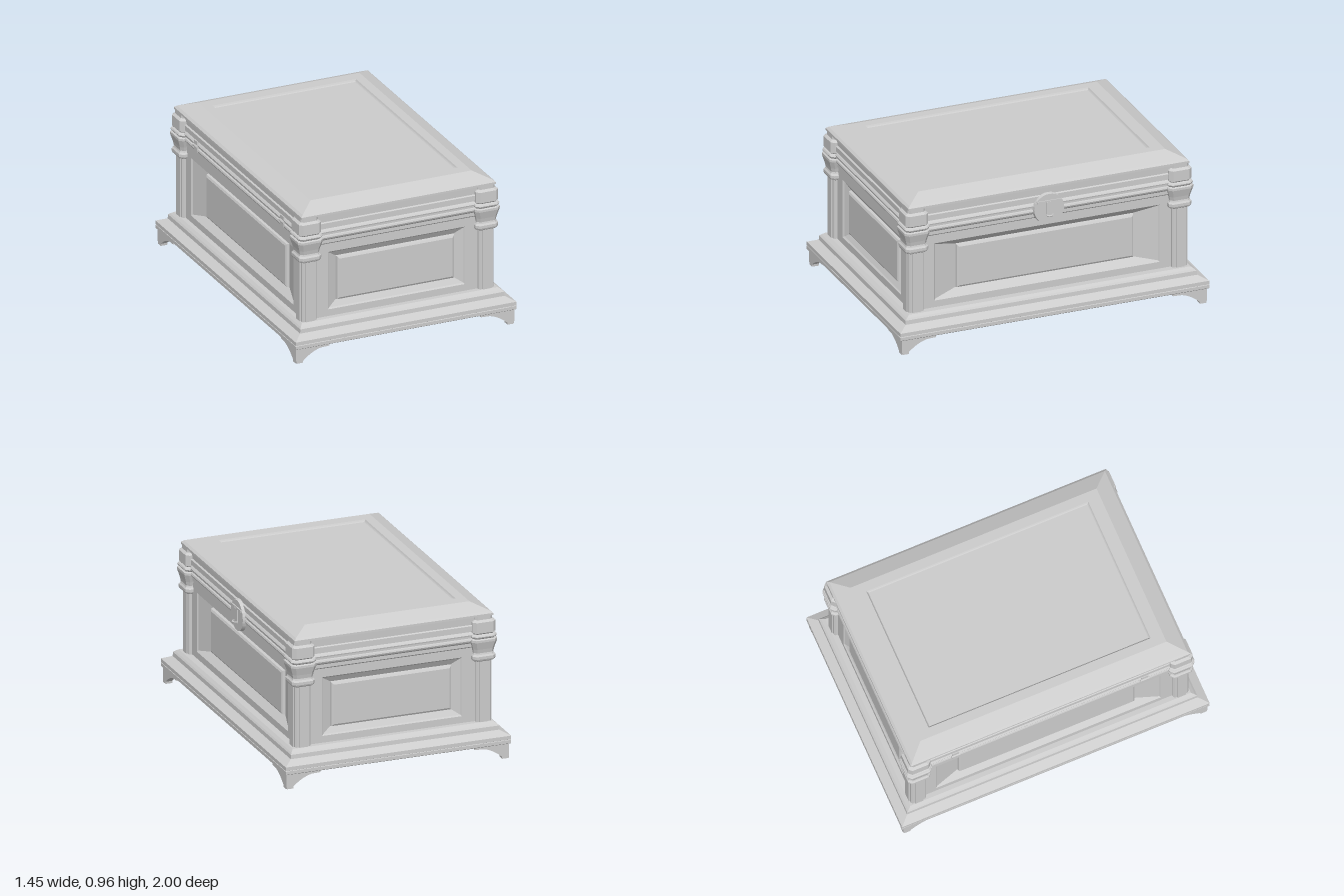
import * as THREE from 'three';

const material = new THREE.MeshStandardMaterial({ color: 0xcccccc, flatShading: true });

function add(parent, name, geometry, x = 0, y = 0, z = 0) {
  const mesh = new THREE.Mesh(geometry, material);
  mesh.name = name;
  mesh.position.set(x, y, z);
  parent.add(mesh);
  return mesh;
}

// Skin a stack of counter-clockwise rings along +z, closing both ends as asked
function loft(rings, capStart, capEnd) {
  const pos = [];
  const tri = (...pts) => pts.forEach((p) => pos.push(...p));
  const n = rings[0].length;
  for (let r = 0; r < rings.length - 1; r++) {
    for (let i = 0; i < n; i++) {
      const j = (i + 1) % n, a = rings[r], b = rings[r + 1];
      tri(a[i], a[j], b[j]);
      tri(a[i], b[j], b[i]);
    }
  }
  const last = rings[rings.length - 1];
  for (let i = 1; i < n - 1; i++) {
    if (capStart) tri(rings[0][0], rings[0][i + 1], rings[0][i]);
    if (capEnd) tri(last[0], last[i], last[i + 1]);
  }
  const g = new THREE.BufferGeometry();
  g.setAttribute('position', new THREE.Float32BufferAttribute(pos, 3));
  g.computeVertexNormals();
  return g;
}

const rect = (x, y0, y1, z) => [[-x, y0, z], [x, y0, z], [x, y1, z], [-x, y1, z]];

// Square with cut corners
const octagon = (h, z, c = h * 0.28) => [
  [h, -h + c, z], [h, h - c, z], [h - c, h, z], [-h + c, h, z],
  [-h, h - c, z], [-h, -h + c, z], [-h + c, -h, z], [h - c, -h, z],
];

// Stacked rectangular moulding: rows of [halfX, halfZ, y]
const moulding = (rows) =>
  loft(rows.map(([x, z, y]) => rect(x, -z, z, y)), true, true).rotateX(-Math.PI / 2);

// Wall with a sloping recess and a raised, bevelled field
const panelWall = (half, frame, field, depth) => loft([
  rect(half, 0.2, 0.7, 0),
  rect(frame, 0.265, 0.64, 0),
  rect(frame - 0.008, 0.273, 0.632, -0.008),
  rect(field, 0.31, 0.595, -depth),
  rect(field - 0.004, 0.314, 0.591, -depth + 0.016),
  rect(field - 0.016, 0.326, 0.579, -depth + 0.023),
], false, true);

// Bracket foot: two curved wings meeting at the corner
function makeFoot() {
  const foot = new THREE.Group();
  foot.name = 'foot';
  const s = new THREE.Shape();
  s.moveTo(0.006, 0);
  s.lineTo(0.045, 0);
  s.lineTo(0.047, 0.015);
  s.quadraticCurveTo(0.11, 0.068, 0.165, 0.078);
  s.lineTo(0.22, 0.08);
  s.lineTo(0.22, 0.1);
  s.lineTo(0, 0.1);
  s.lineTo(0, 0.02);
  const wing = new THREE.ExtrudeGeometry(s, { depth: 0.042, bevelEnabled: false, curveSegments: 8 });
  add(foot, 'footWing', wing);
  add(foot, 'footWing', wing.clone().rotateY(-Math.PI / 2), 0.042);
  return foot;
}

// Corner column: fluted shaft below a turned-looking capital
function makeColumn() {
  const column = new THREE.Group();
  column.name = 'cornerColumn';
  const shaft = loft([octagon(0.049, 0.21, 0.008), octagon(0.049, 0.63, 0.008)], true, true);
  add(column, 'columnShaft', shaft.rotateX(-Math.PI / 2));
  add(column, 'columnStrip', new THREE.BoxGeometry(0.114, 0.4, 0.054), 0, 0.41, 0);
  add(column, 'columnStrip', new THREE.BoxGeometry(0.054, 0.4, 0.114), 0, 0.41, 0);
  const profile = [
    [0.058, 0.61], [0.07, 0.618], [0.074, 0.628], [0.074, 0.645], [0.066, 0.655], [0.063, 0.665],
    [0.068, 0.69], [0.082, 0.738], [0.082, 0.752], [0.07, 0.757], [0.078, 0.765], [0.081, 0.773],
    [0.076, 0.781], [0.066, 0.786], [0.073, 0.794], [0.073, 0.862], [0.057, 0.874], [0.057, 0.896],
  ];
  const capital = loft(profile.map(([h, y]) => octagon(h, y)), true, true);
  add(column, 'columnCapital', capital.rotateX(-Math.PI / 2));
  return column;
}

export function createModel() {
  const model = new THREE.Group();
  model.name = 'chest';

  // Plinth and feet
  add(model, 'plinth', moulding([
    [0.72, 0.993, 0.093], [0.726, 1, 0.098], [0.726, 1, 0.118], [0.722, 0.996, 0.12],
    [0.726, 1, 0.122], [0.726, 1, 0.145], [0.672, 0.945, 0.172], [0.67, 0.943, 0.198],
    [0.662, 0.932, 0.208], [0.646, 0.912, 0.222],
  ]));
  [[-1, -1], [-1, 1], [1, 1], [1, -1]].forEach(([sx, sz], i) => {
    const foot = makeFoot();
    foot.position.set(sx * 0.718, 0, sz * 0.988);
    foot.rotation.y = i * Math.PI / 2;
    model.add(foot);
  });

  const upper = new THREE.Group();
  upper.name = 'chestBody';
  upper.position.x = -0.007;
  model.add(upper);

  // Four panelled walls
  const X = 0.61, Z = 0.88;
  for (let i = 0; i < 4; i++) {
    const long = i % 2 === 1;
    const wall = long ? panelWall(Z, 0.73, 0.575, 0.045) : panelWall(X, 0.45, 0.388, 0.03);
    const a = i * Math.PI / 2;
    add(upper, long ? 'sideWall' : 'endWall', wall, Math.sin(a) * X, 0, Math.cos(a) * Z).rotation.y = a;
  }

  // Rim of the box, then the lid with its sunken top
  const grow = ([d, y]) => [X + d, Z + d, y];
  add(upper, 'boxRim', moulding([
    [0, 0.695], [0.008, 0.703], [0.008, 0.725], [0.018, 0.735], [0.022, 0.745],
    [0.018, 0.755], [0.01, 0.758], [0.01, 0.77],
  ].map(grow)));
  add(upper, 'lid', moulding([
    ...[[0.01, 0.77], [0.02, 0.774], [0.022, 0.782], [0.016, 0.79], [0.008, 0.798], [0.008, 0.803],
      [0.018, 0.806], [0.018, 0.838], [0.008, 0.843], [0.01, 0.89], [0.03, 0.895], [0.03, 0.908]].map(grow),
    [0.626, 0.896, 0.92], [0.53, 0.8, 0.96], [0.472, 0.722, 0.96],
    [0.467, 0.717, 0.952], [0.462, 0.712, 0.947],
  ]));

  // Columns at the four corners
  for (const sx of [-1, 1]) {
    for (const sz of [-1, 1]) {
      const column = makeColumn();
      column.position.set(sx * 0.582, 0, sz * 0.853);
      upper.add(column);
    }
  }

  // Round lock plate with hasp and staple
  const lock = new THREE.Group();
  lock.name = 'lock';
  lock.position.set(0.635, 0.757, 0);
  upper.add(lock);
  add(lock, 'lockPlate', new THREE.CylinderGeometry(0.096, 0.1, 0.022, 28).rotateZ(-Math.PI / 2));
  add(lock, 'haspBand', new THREE.BoxGeometry(0.012, 0.012, 0.16), 0.012, 0.05, 0);
  add(lock, 'haspTongue', new THREE.BoxGeometry(0.012, 0.09, 0.045), 0.014, 0.002, 0);
  add(lock, 'staple', new THREE.TorusGeometry(0.02, 0.005, 6, 16, Math.PI).rotateX(Math.PI / 2)
    .rotateY(Math.PI / 2), 0.017, -0.037, 0);

  // Hinges on the opposite side
  for (const z of [-0.615, 0.615]) {
    const hinge = new THREE.Group();
    hinge.name = 'hinge';
    hinge.position.set(-0.632, 0.77, z);
    upper.add(hinge);
    add(hinge, 'hingeKnuckle', new THREE.CylinderGeometry(0.01, 0.01, 0.055, 10).rotateX(Math.PI / 2));
    add(hinge, 'hingePlate', new THREE.BoxGeometry(0.008, 0.07, 0.045), 0.002, 0, 0);
  }
  return model;
}
